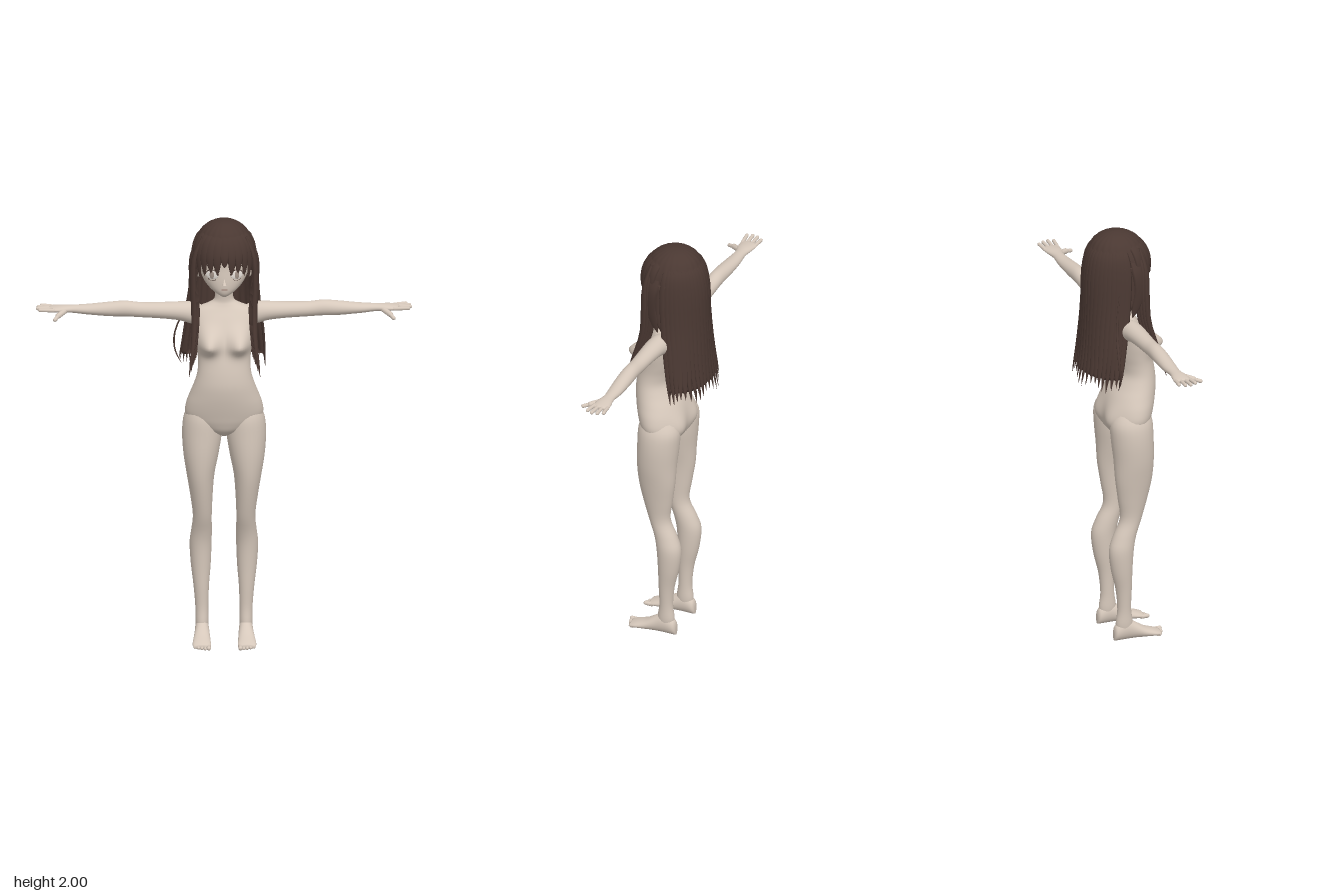
import * as THREE from 'three';

const mat = (name, color) => Object.assign(new THREE.MeshStandardMaterial({ color }), { name });
const V = (x, y, z) => new THREE.Vector3(x, y, z);

// smooth interpolation between rows of section values
function refine(rows, steps) {
  const out = [];
  for (let i = 0; i < rows.length - 1; i++) {
    const a = rows[Math.max(i - 1, 0)], b = rows[i], c = rows[i + 1], d = rows[Math.min(i + 2, rows.length - 1)];
    for (let k = 0; k < steps; k++) {
      const t = k / steps;
      out.push(b.map((v, j) => {
        const cubic = 3 * (v - c[j]) + d[j] - a[j];
        const square = 2 * a[j] - 5 * v + 4 * c[j] - d[j];
        return v + 0.5 * t * (c[j] - a[j] + t * (square + t * cubic));
      }));
    }
  }
  out.push(rows[rows.length - 1]);
  return out;
}

// closed skin over rows of sections; place(row, angle) gives a point
function loft(rows, place, n = 24, steps = 4) {
  const pos = [], idx = [], R = refine(rows, steps), m = R.length;
  for (const r of R) for (let j = 0; j < n; j++) pos.push(...place(r, (j / n) * Math.PI * 2));
  for (const i of [0, m - 1]) {
    const c = [0, 0, 0];
    for (let j = 0; j < n; j++) for (let k = 0; k < 3; k++) c[k] += pos[(i * n + j) * 3 + k] / n;
    pos.push(...c);
  }
  for (let j = 0; j < n; j++) {
    const q = (j + 1) % n;
    for (let i = 0; i < m - 1; i++) {
      const a = i * n + j, b = i * n + q;
      idx.push(a, b, a + n, b, b + n, a + n);
    }
    idx.push(m * n, q, j, m * n + 1, (m - 1) * n + j, (m - 1) * n + q);
  }
  // turn the faces outward if the volume comes out negative
  let vol = 0;
  const p = (i) => V(pos[i * 3], pos[i * 3 + 1], pos[i * 3 + 2]);
  for (let i = 0; i < idx.length; i += 3) vol += p(idx[i]).dot(p(idx[i + 1]).cross(p(idx[i + 2])));
  if (vol < 0) idx.reverse();
  const g = new THREE.BufferGeometry();
  g.setAttribute('position', new THREE.Float32BufferAttribute(pos, 3));
  g.setIndex(idx);
  g.computeVertexNormals();
  return g;
}

// tapering flat lock of hair along a path
function strand(points, w, th) {
  const curve = new THREE.CatmullRomCurve3(points), rows = [];
  for (let i = 0; i <= 14; i++) rows.push([i / 14]);
  return loft(rows, ([t], a) => {
    const c = curve.getPoint(t), tan = curve.getTangent(t);
    const out = V(c.x, 0.02, c.z).normalize();
    const side = tan.cross(out).normalize();
    const f = Math.min(1, 0.35 + t * 2.2) * Math.pow(Math.max(0, 1 - Math.pow(t, 5)), 0.8) + 0.02;
    return c.addScaledVector(side, w * f * Math.cos(a)).addScaledVector(out, th * f * Math.sin(a)).toArray();
  }, 8, 1);
}

// upright oval section: [y, half width, front z, back z]
const oval = ([y, w, f, b], a) => [w * Math.cos(a), y, (f + b) / 2 + ((f - b) / 2) * Math.sin(a)];

export function createModel() {
  const root = new THREE.Group();
  const skin = mat('skin', 0xd6c8bb), hair = mat('hair', 0x4a3832), white = mat('eyeWhite', 0xe8e1da);
  const iris = mat('iris', 0xa39389), lip = mat('lip', 0x9a7a70);
  const add = (name, geo, m, parent = root) => {
    const mesh = new THREE.Mesh(geo, m);
    mesh.name = name;
    parent.add(mesh);
    return mesh;
  };
  const rod = (name, a, b, r) => {
    const d = b.clone().sub(a);
    const mesh = add(name, new THREE.CapsuleGeometry(r, d.length(), 4, 10), skin);
    mesh.position.copy(a).add(b).multiplyScalar(0.5);
    mesh.quaternion.setFromUnitVectors(V(0, 1, 0), d.normalize());
  };

  // torso and neck, with soft swells at chest and seat
  add('torso', loft([
    [0.99, 0.03, 0.07, 0], [1.02, 0.1, 0.115, -0.045], [1.06, 0.16, 0.135, -0.062], [1.1, 0.178, 0.147, -0.066],
    [1.15, 0.172, 0.16, -0.06], [1.2, 0.155, 0.17, -0.045], [1.25, 0.137, 0.175, -0.02], [1.3, 0.123, 0.172, -0.002],
    [1.35, 0.119, 0.164, -0.01], [1.4, 0.123, 0.152, -0.025], [1.45, 0.13, 0.14, -0.035], [1.5, 0.135, 0.122, -0.042],
    [1.55, 0.142, 0.094, -0.045], [1.585, 0.128, 0.07, -0.042], [1.608, 0.075, 0.056, -0.032],
    [1.63, 0.045, 0.05, -0.022], [1.68, 0.04, 0.055, -0.018], [1.74, 0.042, 0.06, -0.02]], (r, a) => {
    const p = oval(r, a), x = Math.abs(p[0]), y = p[1], s = Math.sin(a);
    const swell = (cx, cy, rx, ry) => Math.min(1, Math.abs(s) * 3) * Math.exp(-Math.pow((x - cx) / rx, 2) - Math.pow((y - cy) / ry, 2));
    p[2] += s > 0 ? 0.07 * swell(0.074, 1.445, 0.048, y < 1.445 ? 0.042 : 0.06) : -0.022 * swell(0.08, 1.085, 0.055, 0.07);
    return p;
  }, 56, 5), skin);

  for (const s of [1, -1]) {
    const side = s > 0 ? 'left' : 'right';
    // leg: [y, outer x, inner x, front z, back z]
    add(side + 'Leg', loft([
      [1.14, 0.155, 0.04, 0.11, -0.04], [1.08, 0.183, 0.012, 0.128, -0.068], [1, 0.191, 0.01, 0.132, -0.066],
      [0.9, 0.185, 0.025, 0.133, -0.056], [0.8, 0.17, 0.044, 0.125, -0.05], [0.7, 0.154, 0.052, 0.105, -0.036],
      [0.6, 0.142, 0.056, 0.078, -0.024], [0.52, 0.149, 0.055, 0.05, -0.058], [0.45, 0.156, 0.056, 0.036, -0.08],
      [0.35, 0.15, 0.06, 0.03, -0.07], [0.25, 0.138, 0.068, 0.028, -0.047], [0.15, 0.13, 0.071, 0.026, -0.038],
      [0.08, 0.13, 0.07, 0.035, -0.046], [0.04, 0.125, 0.075, 0.03, -0.04]],
    ([y, o, i, f, b], a) => [s * ((o + i) / 2 + ((o - i) / 2) * Math.cos(a)), y, (f + b) / 2 + ((f - b) / 2) * Math.sin(a)]), skin);
    // foot: [z, centre x, half width, height]
    add(side + 'Foot', loft([
      [-0.056, 0.1, 0.012, 0.045], [-0.045, 0.1, 0.026, 0.075], [0, 0.1, 0.031, 0.1], [0.04, 0.1, 0.034, 0.082],
      [0.09, 0.102, 0.039, 0.05], [0.14, 0.103, 0.042, 0.03], [0.165, 0.102, 0.037, 0.02]],
    ([z, x, w, h], a) => [s * (x + w * Math.cos(a)), h * (0.5 + 0.5 * Math.sin(a)), z]), skin);
    for (let i = 0; i < 5; i++) {
      const x = s * (0.072 + i * 0.0155), r = i ? 0.0075 : 0.01;
      rod(side + 'Toe', V(x, r, 0.15), V(x, r, 0.18 - i * i * 0.0016), r);
    }
    // arm and palm: [x, top y, bottom y, front z, back z]
    add(side + 'Arm', loft([
      [0.09, 1.59, 1.51, 0.04, -0.035], [0.14, 1.61, 1.507, 0.05, -0.045], [0.2, 1.612, 1.525, 0.052, -0.04],
      [0.28, 1.61, 1.535, 0.048, -0.034], [0.38, 1.61, 1.541, 0.042, -0.03], [0.45, 1.617, 1.545, 0.04, -0.03],
      [0.52, 1.612, 1.546, 0.04, -0.032], [0.62, 1.601, 1.554, 0.033, -0.032], [0.69, 1.597, 1.562, 0.026, -0.027],
      [0.74, 1.596, 1.564, 0.037, -0.036], [0.78, 1.592, 1.569, 0.038, -0.042], [0.795, 1.588, 1.574, 0.034, -0.038]],
    ([x, t, b, f, k], a) => [s * x, (t + b) / 2 + ((t - b) / 2) * Math.sin(a), (f + k) / 2 + ((f - k) / 2) * Math.cos(a)]), skin);
    [0.828, 0.843, 0.847, 0.838].forEach((x, i) => {
      const z = -0.032 + i * 0.021;
      rod(side + 'Finger', V(s * 0.775, 1.581, z), V(s * x, 1.585, z * 1.2), 0.0085);
    });
    rod(side + 'Thumb', V(s * 0.725, 1.575, 0.022), V(s * 0.755, 1.565, 0.062), 0.013);
    rod(side + 'ThumbTip', V(s * 0.752, 1.566, 0.058), V(s * 0.77, 1.556, 0.092), 0.009);

    // eye, lashes, brow and ear
    const eye = new THREE.Group();
    eye.name = side + 'Eye';
    eye.position.set(s * 0.056, 1.776, 0.116);
    eye.rotation.y = s * 0.42;
    root.add(eye);
    add('eyeWhite', new THREE.SphereGeometry(1, 20, 12), white, eye).scale.set(0.031, 0.021, 0.004);
    const disc = add('iris', new THREE.SphereGeometry(1, 20, 12), iris, eye);
    disc.scale.set(0.014, 0.019, 0.0035);
    disc.position.z = 0.0015;
    add('lash', new THREE.TorusGeometry(0.031, 0.0028, 6, 18, Math.PI), hair, eye).scale.y = 0.72;
    add('lowerLash', new THREE.TorusGeometry(0.028, 0.001, 6, 14, 1.6), hair, eye).rotation.z = -2.37;
    const brow = add('brow', new THREE.TorusGeometry(0.045, 0.0025, 6, 12, 1.1), hair, eye);
    brow.rotation.z = 1.02;
    brow.position.set(0, 0.002, 0.002);
    const ear = add(side + 'Ear', new THREE.SphereGeometry(1, 14, 10), skin);
    ear.scale.set(0.012, 0.034, 0.022);
    ear.position.set(s * 0.116, 1.765, 0.005);
  }

  // head, nose and mouth
  add('head', loft([
    [1.668, 0.014, 0.112, 0.075], [1.684, 0.044, 0.124, 0.02], [1.71, 0.076, 0.13, -0.03], [1.75, 0.102, 0.131, -0.07],
    [1.8, 0.115, 0.128, -0.1], [1.85, 0.12, 0.126, -0.11], [1.92, 0.1, 0.1, -0.1], [1.965, 0.05, 0.045, -0.055]], oval, 36), skin);
  const nose = add('nose', new THREE.ConeGeometry(0.011, 0.034, 12), skin);
  nose.position.set(0, 1.745, 0.134);
  nose.rotation.x = -0.35;
  add('mouth', new THREE.BoxGeometry(0.028, 0.003, 0.006), lip).position.set(0, 1.708, 0.129);

  // scalp of hair: rippled dome
  add('hairCap', loft([
    [2, 0.006, 0.005, -0.02], [1.992, 0.05, 0.045, -0.06], [1.965, 0.093, 0.093, -0.105], [1.92, 0.125, 0.125, -0.133],
    [1.88, 0.139, 0.141, -0.148], [1.845, 0.143, 0.146, -0.153]],
  (r, a) => {
    const p = oval(r, a), k = 1 + 0.012 * Math.cos(22 * a);
    return [p[0] * k, p[1], p[2] * k];
  }, 88), hair);

  // back curtain: [y, half width, edge z, back z, sweep]
  const drop = [[1.87, 0.143, 0, -0.15, 2.05], [1.78, 0.148, 0, -0.156, 2.05], [1.7, 0.152, -0.005, -0.158, 1.85],
    [1.6, 0.16, -0.02, -0.161, 1.55], [1.5, 0.17, -0.033, -0.166, 1.5], [1.4, 0.183, -0.045, -0.173, 1.5], [1.34, 0.188, -0.052, -0.18, 1.5]];
  add('hairCurtain', loft(drop, ([y, w, e, b, m], t) => {
    const outer = t < Math.PI, u = outer ? t / Math.PI : 2 - t / Math.PI;
    const a = m * (1 - 2 * u), k = (outer ? 1 : 0.9) + 0.018 * Math.cos(26 * a);
    return [w * k * Math.sin(a), y, e + (b - e) * k * Math.cos(a)];
  }, 120, 3), hair);

  // hanging locks over the curtain, with uneven tips
  for (let i = -11; i <= 11; i++) {
    const a = (i / 11) * 1.5, j = Math.sin(i * 7.3), at = (y, w, e, b) => V(w * Math.sin(a), y, e + (b - e) * Math.cos(a));
    add('backLock', strand([at(1.99, 0.03, -0.01, -0.045), at(1.93, 0.117, -0.005, -0.125), at(1.83, 0.144, 0, -0.154),
      at(1.65, 0.156, -0.012, -0.16), at(1.45, 0.18, -0.04, -0.174), at(1.295 + 0.02 * j, 0.197 + 0.008 * j, -0.058, -0.197 + 0.006 * j)],
    0.021 + 0.003 * j, 0.008), hair);
  }

  // fringe
  for (let i = -5; i <= 5; i++) {
    const b = i * 0.235, tip = 1.805 - 0.012 * Math.abs(i) + 0.014 * Math.cos(i * 2.6);
    const at = (y, w, f, k = b) => V(w * Math.sin(k), y, f * Math.cos(k));
    add('fringeLock', strand([at(1.985, 0.04, 0.04), at(1.935, 0.115, 0.115), at(1.87, 0.142, 0.147),
      at(tip, 0.138, 0.153, b + 0.07 * Math.sin(i * 3.1))], 0.023, 0.007), hair);
  }

  // long front locks at each side, and one loose wisp
  for (const s of [1, -1]) {
    for (let k = 0; k < 4; k++) {
      const d = k * 0.013;
      add('sideLock', strand([V(s * 0.1, 1.94, 0.07 - d), V(s * 0.136, 1.85, 0.085 - d), V(s * (0.143 - d * 0.3), 1.72, 0.088 - d),
        V(s * (0.138 - d * 0.4), 1.58, 0.1 - d * 0.8), V(s * (0.142 - d * 0.3), 1.45, 0.14 - d * 0.6),
        V(s * (0.162 - d * 0.8), 1.305 + k * 0.025, 0.178 - d * 0.7)], 0.017, 0.01), hair);
    }
    add('templeLock', strand([V(s * 0.11, 1.93, 0.02), V(s * 0.143, 1.84, 0.045), V(s * 0.148, 1.74, 0.05), V(s * 0.148, 1.62, 0.015)], 0.034, 0.008), hair);
  }
  add('looseWisp', strand([V(-0.15, 1.75, -0.05), V(-0.17, 1.58, -0.07), V(-0.222, 1.44, -0.08), V(-0.222, 1.36, -0.075), V(-0.19, 1.29, -0.07)], 0.006, 0.004), hair);

  return root;
}
